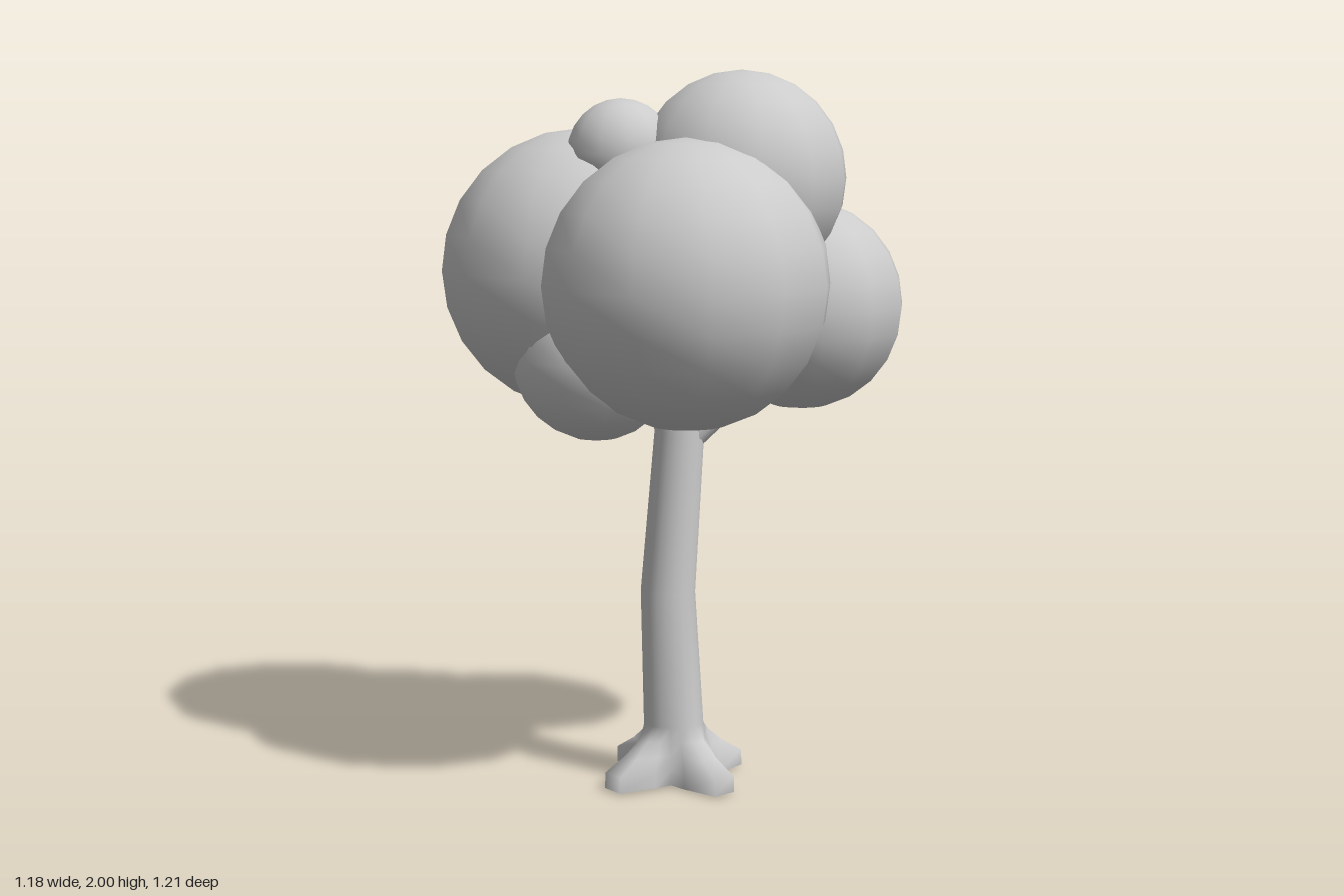
import * as THREE from 'three';

const grey = new THREE.MeshStandardMaterial({ color: 0xcccccc });

// Cross-sections of the trunk: [y, centre x, centre z, radius, root flare]
const SECTIONS = [
  [0.005, -0.062, 0.02, 0.09, 0.135],
  [0.05, -0.062, 0.02, 0.09, 0.133],
  [0.09, -0.062, 0.02, 0.088, 0.07],
  [0.13, -0.063, 0.02, 0.087, 0.025],
  [0.17, -0.065, 0.02, 0.085, 0],
  [0.55, -0.085, 0.02, 0.077, 0],
  [1.0, -0.045, 0.022, 0.07, 0],
  [1.06, -0.052, 0.022, 0.072, 0],
  [1.35, -0.08, 0.02, 0.05, 0],
];
// How far each of five points in a quarter turn follows the root
const ROOT = [1, 1, 0.3, 0, 0.3];
const SIDES = 20;

function trunkGeometry() {
  const pos = [], index = [];
  for (const [y, cx, cz, r, flare] of SECTIONS) {
    for (let i = 0; i < SIDES; i++) {
      const a = ((i * 18 - 9) * Math.PI) / 180;
      const d = r + flare * ROOT[i % 5];
      pos.push(cx + d * Math.cos(a), y, cz + d * Math.sin(a));
    }
  }
  for (let s = 0; s < SECTIONS.length - 1; s++) {
    for (let i = 0; i < SIDES; i++) {
      const j = (i + 1) % SIDES;
      const a = s * SIDES + i, b = s * SIDES + j;
      index.push(a, a + SIDES, b, b, a + SIDES, b + SIDES);
    }
  }
  // Separate bottom ring keeps the edge of the base sharp
  const first = pos.length / 3;
  for (let i = 0; i < SIDES; i++) pos.push(pos[i * 3], pos[i * 3 + 1] - 0.005, pos[i * 3 + 2]);
  pos.push(-0.062, 0, 0.02);
  for (let i = 0; i < SIDES; i++) {
    index.push(first + SIDES, first + i, first + ((i + 1) % SIDES));
  }
  const geo = new THREE.BufferGeometry();
  geo.setAttribute('position', new THREE.Float32BufferAttribute(pos, 3));
  geo.setIndex(index);
  geo.computeVertexNormals();
  return geo;
}

// Tapered limb between two points
function limb(name, from, to, r0, r1) {
  const a = new THREE.Vector3(...from), b = new THREE.Vector3(...to);
  const dir = b.clone().sub(a);
  const mesh = new THREE.Mesh(new THREE.CylinderGeometry(r1, r0, dir.length(), 10), grey);
  mesh.position.copy(a).add(b).multiplyScalar(0.5);
  mesh.quaternion.setFromUnitVectors(new THREE.Vector3(0, 1, 0), dir.normalize());
  mesh.name = name;
  return mesh;
}

// Leaf balls: [name, x, y, z, radius]
const LEAVES = [
  ['frontFoliage', -0.172, 1.43, 0.212, 0.392],
  ['backFoliage', -0.202, 1.447, -0.215, 0.393],
  ['topFoliage', 0.073, 1.705, 0.147, 0.295],
  ['sideFoliage', 0.295, 1.345, 0.147, 0.295],
  ['smallSideFoliage', 0.155, 1.375, -0.135, 0.19],
  ['smallTopFoliage', -0.195, 1.775, -0.045, 0.148],
  ['lowFoliage', -0.28, 1.22, -0.05, 0.23],
];

export function createModel() {
  const tree = new THREE.Group();
  tree.name = 'tree';

  const trunk = new THREE.Mesh(trunkGeometry(), grey);
  trunk.name = 'trunk';
  tree.add(trunk);
  tree.add(limb('branch', [-0.045, 0.98, 0.022], [0.2, 1.22, 0.16], 0.058, 0.045));

  const canopy = new THREE.Group();
  canopy.name = 'canopy';
  for (const [name, x, y, z, r] of LEAVES) {
    const ball = new THREE.Mesh(new THREE.SphereGeometry(r, 12, 12), grey);
    ball.position.set(x, y, z);
    ball.name = name;
    canopy.add(ball);
  }
  tree.add(canopy);
  return tree;
}
